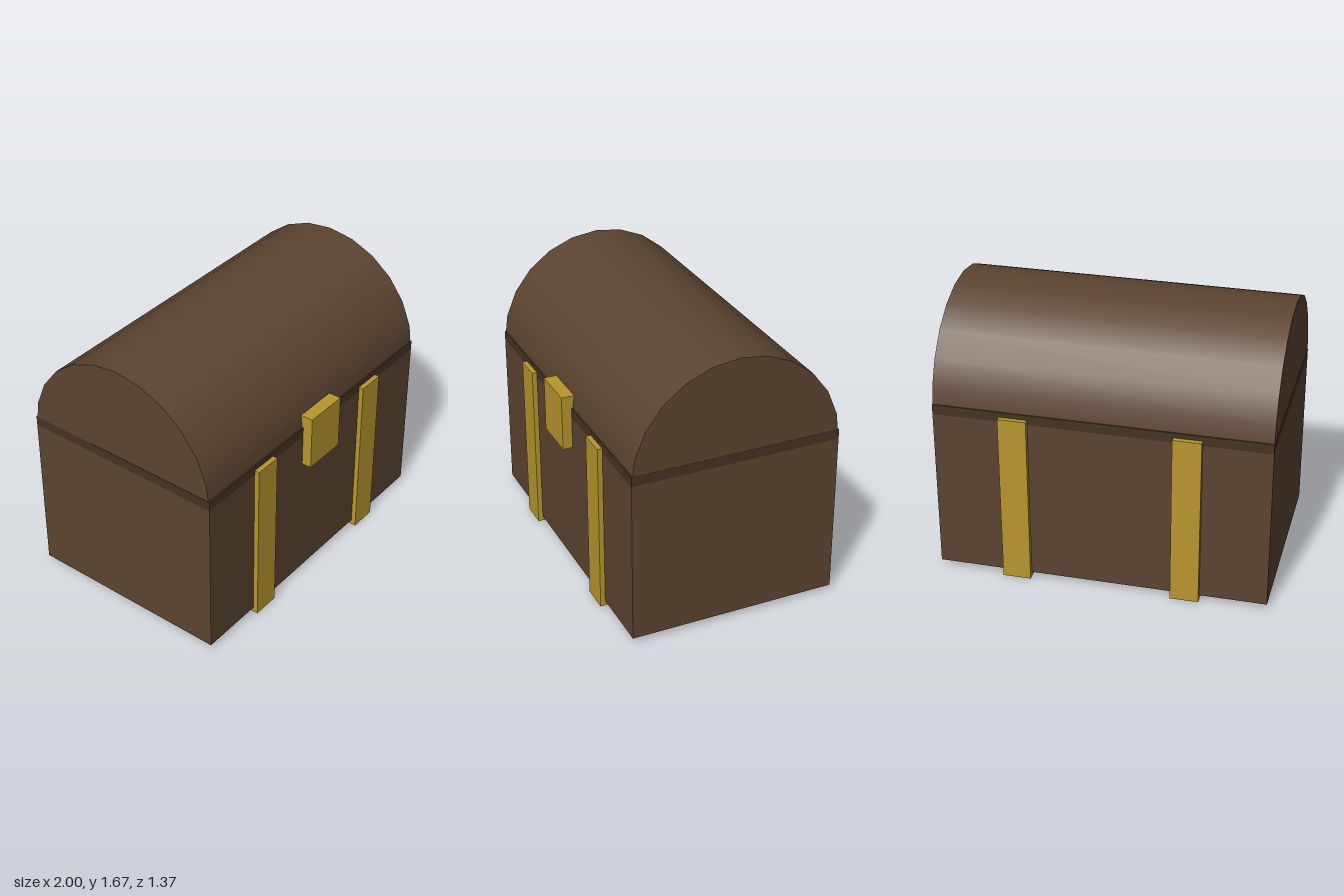
import * as THREE from 'three';

const wood = new THREE.MeshStandardMaterial({ color: 0x5c4430 });
const darkWood = new THREE.MeshStandardMaterial({ color: 0x453324 });
const gold = new THREE.MeshStandardMaterial({ color: 0xb8962e });

// Box given by its minimum and maximum corners
function box(name, material, [x0, y0, z0], [x1, y1, z1]) {
  const mesh = new THREE.Mesh(new THREE.BoxGeometry(x1 - x0, y1 - y0, z1 - z0), material);
  mesh.position.set((x0 + x1) / 2, (y0 + y1) / 2, (z0 + z1) / 2);
  mesh.name = name;
  return mesh;
}

export function createModel() {
  const chest = new THREE.Group();
  chest.name = 'treasureChest';
  const back = -0.655, front = 0.625, floor = 0.03, seam = 1.03;

  // Wooden body and the dark rim on top of it
  chest.add(box('body', wood, [-1, floor, back], [1, seam, front]));
  chest.add(box('rim', darkWood, [-1, seam, back], [1, 1.09, front]));

  // Barrel lid: half cylinder lying along x, curved side up
  const radius = (front - back) / 2;
  const lidGeometry = new THREE.CylinderGeometry(radius, radius, 1.998, 12, 1, false, 0, Math.PI);
  lidGeometry.rotateZ(Math.PI / 2);
  const lid = new THREE.Mesh(lidGeometry, wood);
  lid.name = 'lid';
  lid.position.set(0, seam, (front + back) / 2);
  chest.add(lid);

  // Two metal straps wrapping front, underside and back
  for (const side of [-1, 1]) {
    const strap = new THREE.Group();
    strap.name = side > 0 ? 'leftStrap' : 'rightStrap';
    strap.position.x = side * 0.5125;
    const w = 0.085, t = 0.03, top = 1.06;
    strap.add(
      box('strapFront', gold, [-w, 0, front], [w, top, front + t]),
      box('strapBack', gold, [-w, 0, back - t], [w, top, back]),
      box('strapBottom', gold, [-w, 0, back], [w, floor, front]),
    );
    chest.add(strap);
  }

  // Lock plate over the seam
  chest.add(box('lock', gold, [-0.14, 0.83, 0.6], [0.14, 1.17, 0.685]));
  return chest;
}
